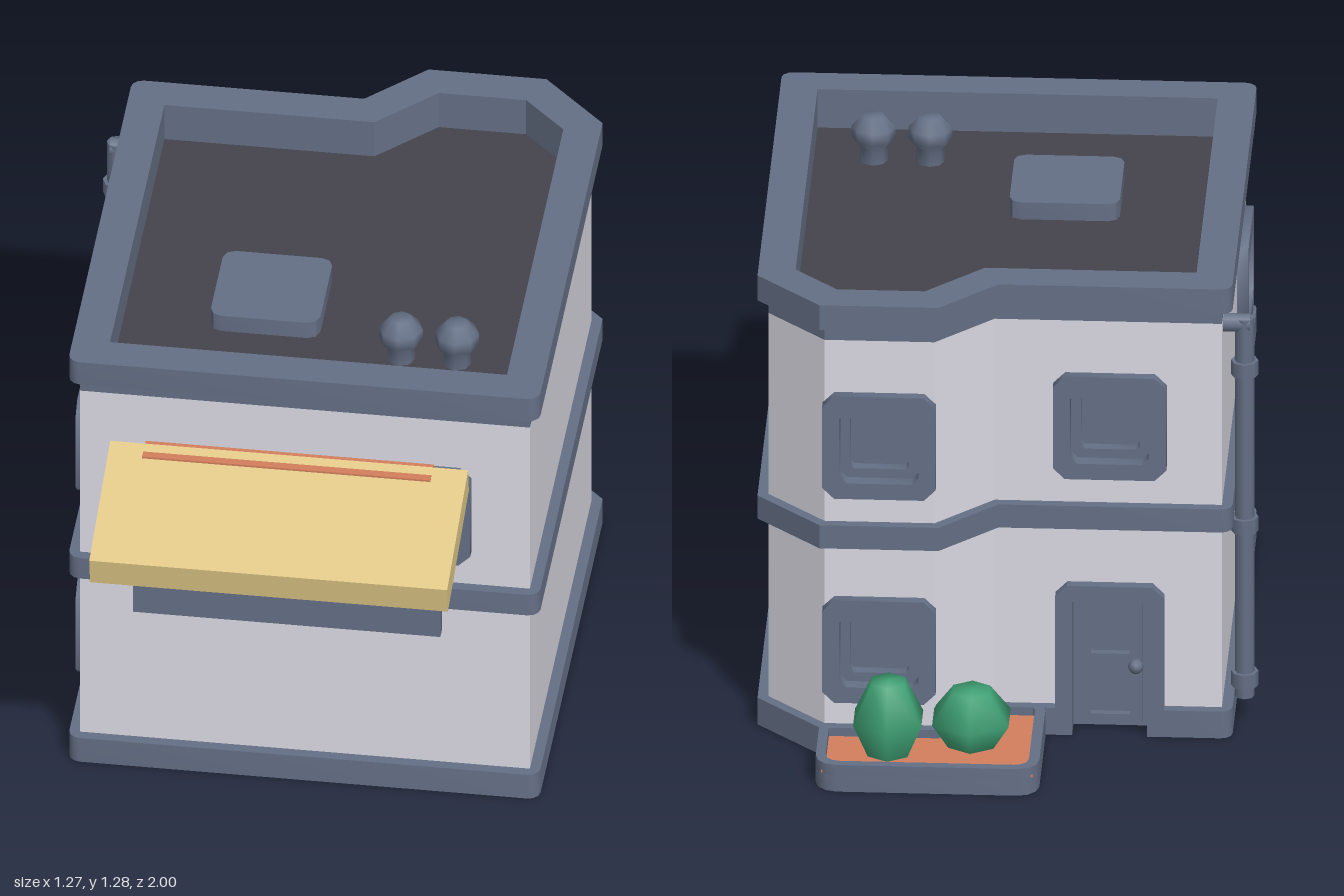
import * as THREE from 'three';
import { toCreasedNormals } from 'three/addons/utils/BufferGeometryUtils.js';

const paint = (name, color) => Object.assign(new THREE.MeshStandardMaterial({ color }), { name });

// Footprint of the trim, as (x, -z), counter-clockwise
const FOOT = [[-0.573, -0.563], [0.633, -0.563], [0.633, 0.62], [0.467, 0.785], [0.165, 0.785], [0.02, 0.64], [-0.573, 0.64]];
const STEPS = 3;

// Moves every edge of a counter-clockwise outline inwards by d
function inset(pts, d) {
  const n = pts.length;
  return pts.map((p, i) => {
    const a = pts[(i + n - 1) % n], b = pts[(i + 1) % n];
    const l1 = Math.hypot(p[0] - a[0], p[1] - a[1]), l2 = Math.hypot(b[0] - p[0], b[1] - p[1]);
    const n1 = [-(p[1] - a[1]) / l1, (p[0] - a[0]) / l1], n2 = [-(b[1] - p[1]) / l2, (b[0] - p[0]) / l2];
    const k = d / (1 + n1[0] * n2[0] + n1[1] * n2[1]);
    return [p[0] + (n1[0] + n2[0]) * k, p[1] + (n1[1] + n2[1]) * k];
  });
}

// Rounds the right-angled corners of an outline; one step gives a chamfer
function soften(pts, r, steps = STEPS) {
  const n = pts.length;
  return pts.flatMap((p, i) => {
    const [d, e] = [pts[(i + n - 1) % n], pts[(i + 1) % n]].map((q) => {
      const l = Math.hypot(q[0] - p[0], q[1] - p[1]);
      return [(q[0] - p[0]) / l, (q[1] - p[1]) / l];
    });
    if (Math.abs(d[0] * e[0] + d[1] * e[1]) > 0.1) return [p];
    return Array.from({ length: steps + 1 }, (_, k) => {
      const t = k / steps * Math.PI / 2, a = r * (1 - Math.sin(t)), b = r * (1 - Math.cos(t));
      return [p[0] + d[0] * a + e[0] * b, p[1] + d[1] * a + e[1] * b];
    });
  });
}

const rect = (x0, y0, x1, y1) => [[x0, y0], [x1, y0], [x1, y1], [x0, y1]];
const square = (h, c) => soften(rect(-h, -h, h, h), c, 1);
const vecs = (pts) => pts.map((p) => new THREE.Vector2(p[0], p[1]));

function outline(pts, holes) {
  const shape = new THREE.Shape(vecs(pts));
  holes.forEach((h) => shape.holes.push(new THREE.Path(vecs(h))));
  return shape;
}

// Extrusion from z0 to z1 with softened shading across gentle bends
const extrude = (pts, z0, z1, hole, crease = 0.6) => toCreasedNormals(
  new THREE.ExtrudeGeometry(outline(pts, hole ? [hole] : []), { depth: z1 - z0, bevelEnabled: false }), crease)
  .translate(0, 0, z0);

// The same, standing upright between two heights
const slab = (pts, y0, y1, hole) => extrude(pts, y0, y1, hole).rotateX(-Math.PI / 2);

export function createModel() {
  const wall = paint('wall', 0xdbdae3);
  const trim = paint('slate trim', 0x657086);
  const dark = paint('roof floor', 0x45444c);
  const wood = paint('awning', 0xe2ca89);
  const clay = paint('clay', 0xd27f5d);
  const leaf = paint('leaf', 0x3fa074);

  const model = new THREE.Group();
  const add = (name, geo, mat, parent = model) => {
    const m = new THREE.Mesh(geo, mat);
    m.name = name;
    parent.add(m);
  };
  const box = (name, mat, x0, x1, y0, y1, z0, z1, parent) =>
    add(name, new THREE.BoxGeometry(x1 - x0, y1 - y0, z1 - z0)
      .translate((x0 + x1) / 2, (y0 + y1) / 2, (z0 + z1) / 2), mat, parent);

  // Trim bands, the lowest one cut away at the back door
  const door = { x: -0.262, half: 0.095, top: 0.375 };
  const outer = soften(FOOT, 0.03);
  const roofLine = inset(FOOT, 0.095);
  const l = door.x - door.half, r = door.x + door.half, cut = outer.length - STEPS - 1;
  const baseLine = [...outer.slice(0, cut), [r, 0.64], [r, 0.575], [l, 0.575], [l, 0.64], ...outer.slice(cut)];
  add('baseTrim', slab(baseLine, 0, 0.075), trim);
  add('floorBand', slab(outer, 0.58, 0.645), trim);
  add('cornice', slab(inset(FOOT, 0.027), 1.155, 1.195, roofLine), trim);
  add('parapet', slab(outer, 1.195, 1.265, roofLine), trim);
  add('roofFloor', slab(inset(FOOT, 0.09), 1.15, 1.157), dark);

  // Stepped window set into a wall opening
  function addWindow(u, y, parent) {
    const g = new THREE.Group();
    g.name = 'window';
    add('windowFrame', extrude(square(0.144, 0.03), -0.02, 0.028, square(0.1, 0.018), 0.8), trim, g);
    add('windowSash', extrude(square(0.11, 0.02), -0.045, -0.01, square(0.075, 0.01), 0.8), trim, g);
    add('windowPane', extrude(square(0.08, 0.01), -0.045, -0.04), trim, g);
    g.position.set(u, y, 0);
    parent.add(g);
  }

  // Back door with frame, panelled leaf and knob
  function addDoor(u, parent) {
    const g = new THREE.Group();
    g.name = 'door';
    const w = 0.138, c = 0.03, top = 0.42, { half: h, top: t } = door;
    add('doorFrame', extrude([[-w, 0], [-h, 0], [-h, t], [h, t], [h, 0], [w, 0],
      [w, top - c], [w - c, top], [c - w, top], [-w, top - c]], -0.04, 0.028), trim, g);
    box('doorLeaf', trim, -h, h, 0, t, -0.045, -0.038, g);
    for (const [y0, y1] of [[0.01, 0.18], [0.18, 0.37]]) {
      add('doorPanelFrame', extrude(rect(-0.08, y0, 0.08, y1), -0.038, -0.018,
        rect(-0.05, y0 + 0.03, 0.05, y1 - 0.03)), trim, g);
    }
    add('doorKnob', new THREE.SphereGeometry(0.02, 8, 6).translate(0.066, 0.19, 0.012), trim, g);
    box('knobStem', trim, 0.058, 0.074, 0.182, 0.198, -0.02, 0.01, g);
    g.position.x = u;
    parent.add(g);
  }

  // One wall panel per side; windows are [x, z, heights]
  const windows = {
    0: [0.313, 0.536, [0.865]],
    3: [0.316, -0.758, [0.29, 0.865]],
    5: [door.x, -0.613, [0.865]],
    6: [-0.546, 0.265, [0.29, 0.865]],
  };
  const corners = inset(FOOT, 0.027);
  corners.forEach((a, i) => {
    const b = corners[(i + 1) % corners.length];
    const dx = b[0] - a[0], dy = b[1] - a[1], len = Math.hypot(dx, dy);
    const g = new THREE.Group();
    g.name = 'wallSide';
    g.position.set(a[0], 0, -a[1]);
    g.rotation.y = Math.atan2(dy, dx);
    const along = (x, z) => ((x - a[0]) * dx + (-z - a[1]) * dy) / len;
    const pts = rect(0, 0.01, len, 1.155), holes = [];
    if (i === 5) {
      const u = along(door.x, -0.613), h = door.half + 0.01, t = door.top + 0.01;
      pts.splice(1, 0, [u - h, 0.01], [u - h, t], [u + h, t], [u + h, 0.01]);
      addDoor(u, g);
    }
    if (windows[i]) {
      const [x, z, heights] = windows[i], u = along(x, z);
      for (const y of heights) {
        holes.push(rect(u - 0.11, y - 0.11, u + 0.11, y + 0.11));
        addWindow(u, y, g);
      }
    }
    add('wallPanel', new THREE.ShapeGeometry(outline(pts, holes)), wall, g);
    model.add(g);
  });

  // Roof hatch and vents
  add('roofHatch', slab(soften(rect(-0.255, -0.24, 0.025, 0.037), 0.03, 2), 1.15, 1.205), trim);
  const ventProfile = vecs([[0.036, 1.15], [0.036, 1.2], [0.056, 1.22], [0.056, 1.252], [0.028, 1.283], [0, 1.283]]);
  for (const x of [0.242, 0.386]) {
    add('roofVent', new THREE.LatheGeometry(ventProfile, 8).translate(x, 0, 0.29), trim);
  }

  // Drainpipe with collars and a square bend into the wall
  const px = -0.6, pz = -0.54;
  const rod = (name, rad, y0, y1) =>
    add(name, new THREE.CylinderGeometry(rad, rad, y1 - y0, 8).translate(px, (y0 + y1) / 2, pz), trim);
  rod('drainPipe', 0.025, 0.075, 1.14);
  for (const y of [0.125, 0.56, 1.0]) rod('pipeCollar', 0.035, y - 0.02, y + 0.02);
  add('pipeInlet', new THREE.CylinderGeometry(0.025, 0.025, 0.085, 8).rotateZ(Math.PI / 2)
    .translate(px + 0.028, 1.125, pz), trim);

  // Sloping awning, its mount and the hanging panel
  const slope = extrude([[1.0, 0.969], [0.985, 0.89], [0.595, 0.985], [0.61, 1.06]].reverse(), 0, 0.916);
  add('awning', slope.rotateY(-Math.PI / 2).translate(0.458, 0, 0), wood);
  box('awningMount', clay, -0.37, 0.368, 0.9, 1.054, 0.59, 0.658);
  box('hangingPanel', trim, -0.395, 0.392, 0.553, 0.94, 0.615, 0.648);

  // Planter with soil and two bushes
  const planterLine = soften(rect(-0.1, 0.6, 0.468, 1), 0.055);
  add('planterFloor', slab(planterLine, 0, 0.045), trim);
  add('planterRim', slab(planterLine, 0.045, 0.075, soften(rect(-0.073, 0.62, 0.443, 0.975), 0.035)), trim);
  add('soil', slab(rect(-0.085, 0.61, 0.453, 0.985), 0.045, 0.052), clay);
  const bush = (x, z, rad, top) => {
    const profile = vecs([[rad * 0.55, 0.045], [rad, 0.055 + (top - 0.055) * 0.46], [rad * 0.48, top - 0.004], [0, top]]);
    add('bush', new THREE.LatheGeometry(profile, 6).translate(x, 0, z), leaf);
  };
  bush(0.08, -0.805, 0.112, 0.205);
  bush(0.288, -0.87, 0.1, 0.257);

  return model;
}
